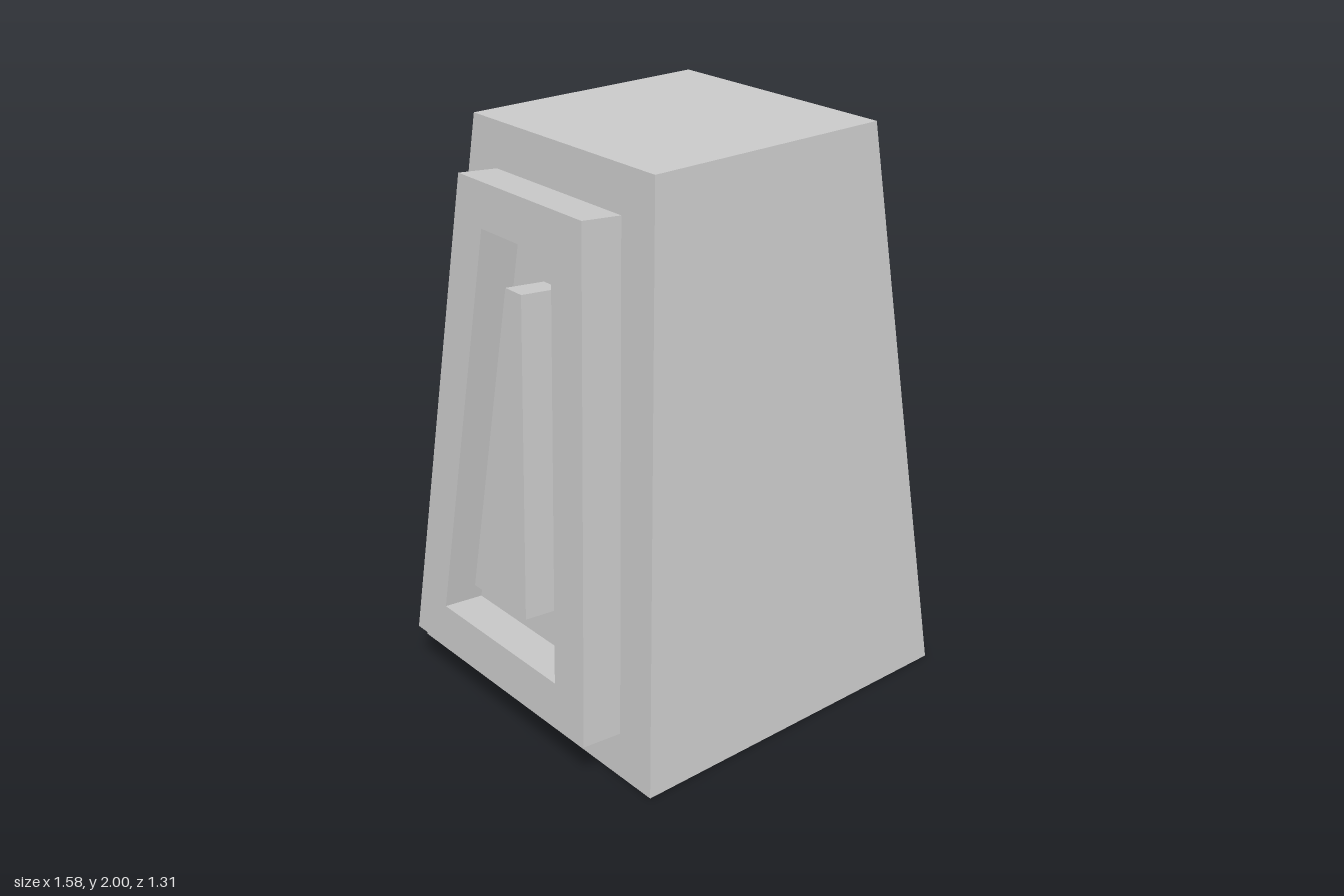
import * as THREE from 'three';

const HEIGHT = 2, BASE = 0.655, TOP = 0.463, DEPTH = 0.15;
const TILT = Math.atan2(BASE - TOP, HEIGHT);

const material = new THREE.MeshStandardMaterial({ color: 0xcccccc, flatShading: true });

// Symmetric trapezoid: half widths at the bottom and top, measured up the slope
function trapezoid(PathType, bottomHalf, topHalf, low, high) {
  const path = new PathType();
  path.moveTo(-bottomHalf, low);
  path.lineTo(bottomHalf, low);
  path.lineTo(topHalf, high);
  path.lineTo(-topHalf, high);
  path.closePath();
  return path;
}

function raised(shape, name) {
  const geometry = new THREE.ExtrudeGeometry(shape, { depth: DEPTH, bevelEnabled: false });
  const mesh = new THREE.Mesh(geometry, material);
  mesh.name = name;
  return mesh;
}

// Raised border with a tapered block in its opening, lying on a sloping face
function sidePanel(side) {
  const slope = new THREE.Group();
  slope.position.z = BASE;
  slope.rotation.x = -TILT;

  const border = trapezoid(THREE.Shape, 0.485, 0.322, 0.154, 1.854);
  border.holes.push(trapezoid(THREE.Path, 0.318, 0.184, 0.307, 1.704));
  slope.add(raised(border, 'panelFrame'));
  slope.add(raised(trapezoid(THREE.Shape, 0.147, 0.042, 0.463, 1.548), 'panelBlock'));

  const panel = new THREE.Group();
  panel.name = side > 0 ? 'leftPanel' : 'rightPanel';
  panel.rotation.y = side * Math.PI / 2;
  panel.add(slope);
  return panel;
}

export function createModel() {
  const model = new THREE.Group();
  model.name = 'taperedTower';

  // Square tapered body
  const body = new THREE.Mesh(
    new THREE.CylinderGeometry(TOP * Math.SQRT2, BASE * Math.SQRT2, HEIGHT, 4, 1, false, Math.PI / 4),
    material
  );
  body.name = 'body';
  body.position.y = HEIGHT / 2;
  model.add(body);

  // Matching panels on both sides
  for (const side of [1, -1]) model.add(sidePanel(side));

  return model;
}
